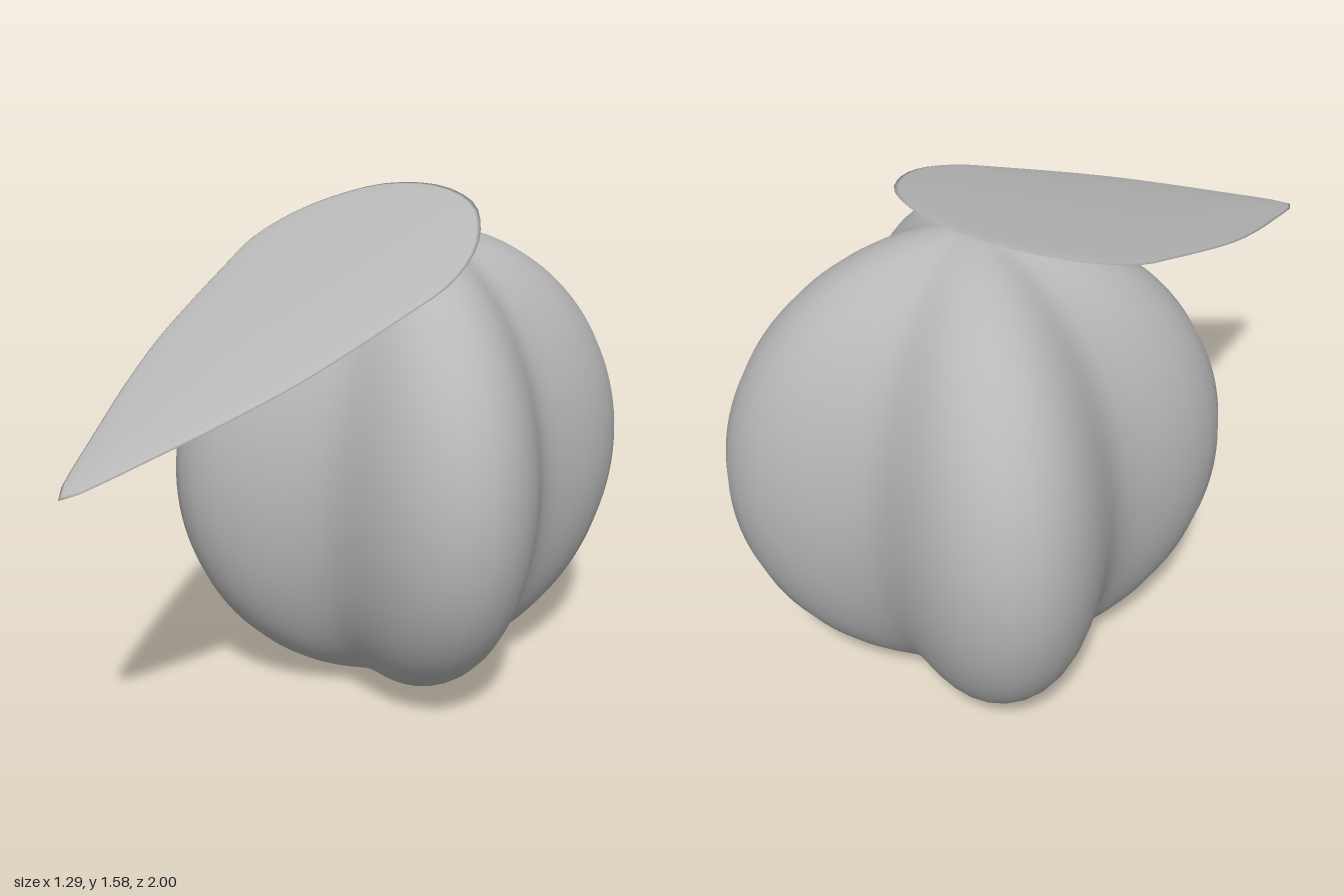
import * as THREE from 'three';
import { mergeVertices } from 'three/addons/utils/BufferGeometryUtils.js';

// Rounded solid: an ellipsoid whose horizontal section follows outline(u) -> [x, z]
function roundedSolid(outline, halfHeight, around, rings) {
  let geo = new THREE.SphereGeometry(1, around, rings);
  const pos = geo.attributes.position;
  for (let iy = 0, k = 0; iy <= rings; iy++) {
    const phi = (iy / rings) * Math.PI;
    const s = iy === 0 || iy === rings ? 0 : Math.sin(phi);
    for (let ix = 0; ix <= around; ix++, k++) {
      const [x, z] = outline((ix % around) / around);
      pos.setXYZ(k, x * s, halfHeight * Math.cos(phi), z * s);
    }
  }
  geo.deleteAttribute('uv');
  geo.deleteAttribute('normal');
  geo = mergeVertices(geo, 1e-5);
  geo.computeVertexNormals();
  return geo;
}

export function createModel() {
  const group = new THREE.Group();
  const grey = new THREE.MeshStandardMaterial({ name: 'grey', color: 0xb8b8b8 });

  // Four-lobed fruit, lobes turned off the axes
  const lobeTurn = THREE.MathUtils.degToRad(31.5);
  const fruitOutline = (u) => {
    const a = -u * Math.PI * 2;
    const r = 0.607 + 0.112 * Math.cos(4 * (a - lobeTurn));
    return [r * Math.cos(a), r * Math.sin(a)];
  };
  const fruit = new THREE.Mesh(roundedSolid(fruitOutline, 0.745, 64, 64), grey);
  fruit.name = 'fruit';
  fruit.position.set(0, 0.75, -0.36);
  group.add(fruit);

  // Thin leaf resting on top, sloping down to its tip in front
  const tilt = THREE.MathUtils.degToRad(20);
  const middle = 0.245;
  // [half width, z] from the rounded back end to the tip
  const side = [
    [0.1, -0.495], [0.19, -0.455], [0.26, -0.39], [0.33, -0.29], [0.367, -0.19],
    [0.38, -0.08], [0.36, 0.03], [0.325, 0.2], [0.275, 0.4], [0.2, 0.6],
    [0.11, 0.8], [0.06, 0.91], [0.025, 0.975],
  ];
  const toLocal = (x, z) => new THREE.Vector3(x, 0, (z - middle) / Math.cos(tilt));
  const edge = new THREE.CatmullRomCurve3([
    toLocal(0, -0.51),
    ...side.map(([x, z]) => toLocal(-x, z)),
    toLocal(0, 1),
    ...side.slice().reverse().map(([x, z]) => toLocal(x, z)),
  ], true);
  const leafOutline = (u) => {
    const p = edge.getPointAt(u);
    return [p.x, p.z];
  };
  const leaf = new THREE.Mesh(roundedSolid(leafOutline, 0.017, 64, 16), grey);
  leaf.name = 'leaf';
  leaf.position.set(0, 1.314, middle);
  leaf.rotation.x = tilt;
  group.add(leaf);

  return group;
}
